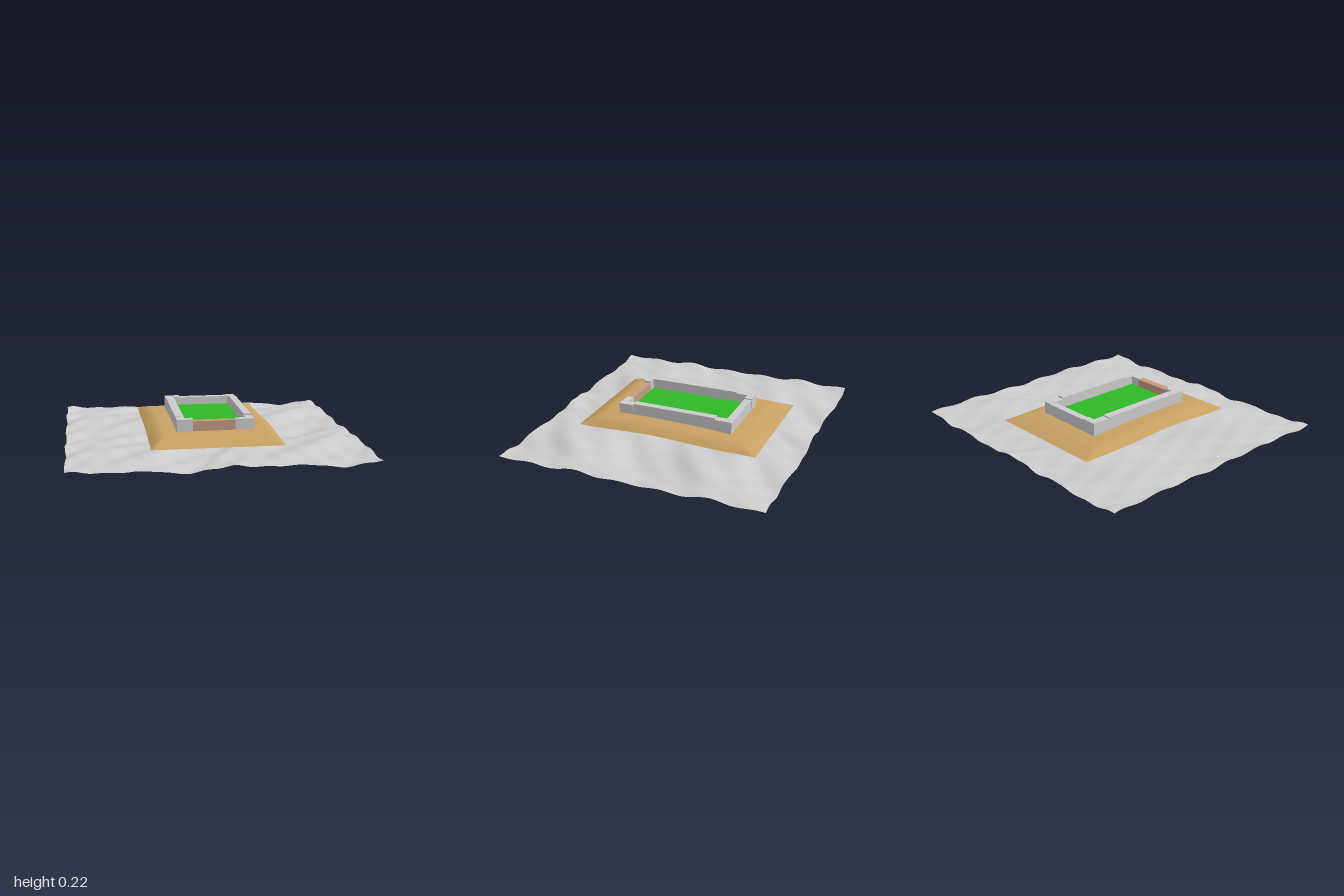
import * as THREE from 'three';

const TAU = Math.PI * 2;
const material = (color) => new THREE.MeshStandardMaterial({ color, side: THREE.DoubleSide });
const stone = material(0xcccccc);
const sand = material(0xc8a062);
const clay = material(0xc49a80);
const grass = material(0x30b828);

function mesh(name, geometry, mat) {
  const m = new THREE.Mesh(geometry, mat);
  m.name = name;
  return m;
}

// Horizontal sheet whose vertices are moved by a rule (x, z) -> [x, y, z]
function sheet(x0, x1, z0, z1, nx, nz, rule) {
  const g = new THREE.PlaneGeometry(x1 - x0, z1 - z0, nx, nz).rotateX(-Math.PI / 2);
  g.translate((x0 + x1) / 2, 0, (z0 + z1) / 2);
  const p = g.attributes.position;
  for (let i = 0; i < p.count; i++) p.setXYZ(i, ...rule(p.getX(i), p.getZ(i)));
  g.computeVertexNormals();
  return g;
}

// Rolling ground, the same relief repeated twice each way
function ground(x, z) {
  const u = TAU * x, v = (TAU * z) / 0.92;
  const y = 0.041 - 0.014 * Math.cos(v)
    + 0.009 * Math.sin(u + v + 0.6)
    + 0.007 * Math.sin(2 * u + v + 2.2)
    + 0.005 * Math.sin(2 * u + 3 * v + 0.8)
    + 0.003 * Math.sin(4 * u + 3 * v + 1.5 * Math.sin(u))
    + 0.002 * Math.sin(5 * u - 2 * v);
  return [x + 0.005 * Math.sin(2 * v), Math.max(0, y), z - 0.012 * Math.sin(u) - 0.003 * Math.sin(3 * u)];
}

// Sand bank: sloping rim around a gently crowned top
const bank = { x0: -0.45, x1: 0.435, z0: -0.67, z1: 0.62 };
function bankRule(x, z) {
  const t = Math.min(1, (x - bank.x0) / 0.1, (bank.x1 - x) / 0.1, (z - bank.z0) / 0.17, (bank.z1 - z) / 0.13);
  const rise = Math.sin(Math.max(0, t) * Math.PI / 2);
  const rim = 0.08 + 0.018 * Math.cos((z - 0.1) * 2) ** 4 * (Math.abs(z) < 0.66 ? 1 : 0.6) * Math.cos(z * 2.2);
  const crown = 0.142 - 0.09 * (z - 0.2) ** 2 * (z < 0.2 ? 0.5 : 1) + 0.006 * x;
  return [x, rim + (crown - rim) * rise, z];
}

// Wall block between two corners, sunk into the bank
function block(name, x0, x1, z0, z1, top, mat = stone) {
  const base = 0.05;
  const g = new THREE.BoxGeometry(x1 - x0, top - base, z1 - z0);
  g.translate((x0 + x1) / 2, (top + base) / 2, (z0 + z1) / 2);
  return mesh(name, g, mat);
}

// L-shaped corner: (x, z) outer corner, (ix, iz) inner corner, (ex, ez) ends of the arms
function corner(name, x, z, ix, iz, ex, ez, top) {
  const pts = [[x, z], [ex, z], [ex, iz], [ix, iz], [ix, ez], [x, ez]];
  const shape = new THREE.Shape(pts.map(([a, b]) => new THREE.Vector2(a, -b)));
  const g = new THREE.ExtrudeGeometry(shape, { depth: top - 0.05, bevelEnabled: false });
  g.rotateX(-Math.PI / 2).translate(0, 0.05, 0);
  return mesh(name, g, stone);
}

export function createModel() {
  const model = new THREE.Group();
  model.name = 'walledField';

  model.add(mesh('ground', sheet(-0.995, 0.995, -0.925, 0.917, 120, 112, ground), stone));
  model.add(mesh('sandBank', sheet(bank.x0, bank.x1, bank.z0, bank.z1, 48, 64, bankRule), sand));

  // Green field inside the walls
  model.add(mesh('field', sheet(-0.203, 0.212, -0.39, 0.343, 1, 1, (x, z) => [x, 0.15, z]), grass));

  // Straight walls and the clay gate in the front
  const walls = new THREE.Group();
  walls.name = 'walls';
  walls.add(
    block('rightWall', -0.26, -0.203, -0.31, 0.29, 0.222),
    block('leftWall', 0.212, 0.263, -0.32, 0.285, 0.222),
    block('backWall', -0.15, 0.205, -0.44, -0.39, 0.206),
    block('frontGate', -0.15, 0.137, 0.343, 0.392, 0.206, clay),
  );

  // Corner blocks
  walls.add(
    corner('frontRightCorner', -0.26, 0.396, -0.203, 0.343, -0.15, 0.29, 0.22),
    corner('frontLeftCorner', 0.266, 0.39, 0.212, 0.343, 0.137, 0.285, 0.212),
    corner('backRightCorner', -0.26, -0.442, -0.203, -0.39, -0.15, -0.31, 0.213),
    corner('backLeftCorner', 0.266, -0.442, 0.212, -0.39, 0.205, -0.32, 0.211),
  );
  model.add(walls);
  return model;
}
